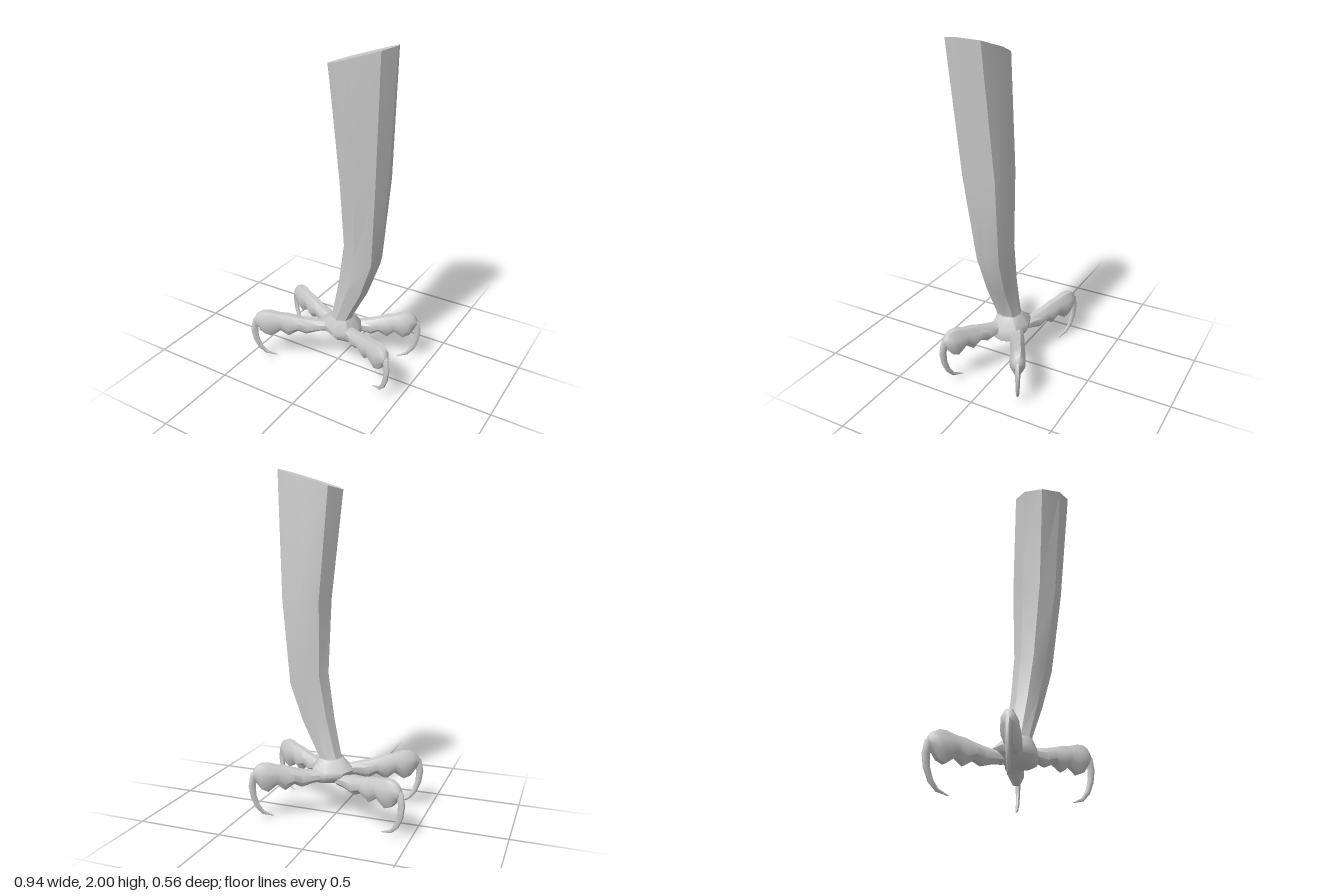
import * as THREE from 'three';
import { toCreasedNormals } from 'three/addons/utils/BufferGeometryUtils.js';

const material = new THREE.MeshStandardMaterial({ color: 0xcccccc });
const UP = new THREE.Vector3(0, 1, 0);

// Skin a list of equal-sized rings (counter-clockwise about the direction of travel) and cap both ends.
function loft(name, rings, crease = 0.6) {
  const n = rings[0].length;
  const pts = rings.flat();
  const index = [];
  for (let r = 0; r < rings.length - 1; r++) {
    for (let i = 0; i < n; i++) {
      const j = (i + 1) % n;
      const a = r * n + i, b = r * n + j;
      index.push(a, b, b + n, a, b + n, a + n);
    }
  }
  const last = (rings.length - 1) * n;
  for (let i = 1; i < n - 1; i++) {
    index.push(0, i + 1, i);
    index.push(last, last + i, last + i + 1);
  }
  const geometry = new THREE.BufferGeometry().setFromPoints(pts);
  geometry.setIndex(index);
  const mesh = new THREE.Mesh(toCreasedNormals(geometry, crease), material);
  mesh.name = name;
  return mesh;
}

// Unit outline of the shank, as [x, z]
const OUTLINE = [[0, 1], [0.8, 0.74], [1, 0.04], [0.78, -0.74], [0, -1], [-0.73, -0.74], [-1, 0], [-0.7, 0.67]];

// Horizontal ring fitted to an x and z range; tilt lifts the +x side
const levelRing = ([y, x0, x1, z0, z1, tilt]) => OUTLINE.map(([px, pz]) => new THREE.Vector3(
  (x0 + x1) / 2 + px * (x1 - x0) / 2,
  y + tilt * px,
  (z0 + z1) / 2 + pz * (z1 - z0) / 2));

// Toe sections: distance along, top, bottom, half width (with padded underside)
const TOE = [
  [-0.08, 0.30, 0.24, 0.030], [0.06, 0.305, 0.235, 0.036], [0.24, 0.315, 0.215, 0.042],
  [0.36, 0.325, 0.235, 0.041], [0.50, 0.34, 0.200, 0.043], [0.62, 0.345, 0.235, 0.041],
  [0.76, 0.36, 0.195, 0.044], [0.86, 0.36, 0.21, 0.041], [0.94, 0.345, 0.25, 0.032],
  [0.99, 0.32, 0.275, 0.016],
];
// Claw path: distance along, height, radius
const CLAW = [
  [0.90, 0.31, 0.024], [0.98, 0.29, 0.022], [1.01, 0.23, 0.020], [0.99, 0.165, 0.017],
  [0.93, 0.105, 0.014], [0.84, 0.065, 0.010], [0.68, 0.043, 0.002],
];

function makeToe(name, [bx, bz], [tx, tz], lift) {
  const toe = new THREE.Group();
  toe.name = name;
  const base = new THREE.Vector3(bx, lift, bz);
  const span = new THREE.Vector3(tx - bx, 0, tz - bz);
  const side = new THREE.Vector3().crossVectors(UP, span).normalize();
  const at = (s, y) => base.clone().addScaledVector(span, s).addScaledVector(UP, y);

  // Eight-sided ring around a centre
  const ring = (centre, v, w, h) => Array.from({ length: 8 }, (_, i) => {
    const a = (i + 0.5) * Math.PI / 4;
    return centre.clone()
      .addScaledVector(side, w * Math.cos(a) / Math.cos(Math.PI / 8))
      .addScaledVector(v, h * Math.sin(a) / Math.cos(Math.PI / 8));
  });

  toe.add(loft('toeFlesh', TOE.map(([s, top, bottom, w]) =>
    ring(at(s, (top + bottom) / 2), UP, w, (top - bottom) / 2)), 0.75));

  const path = CLAW.map(([s, y]) => at(s, y));
  toe.add(loft('claw', CLAW.map(([, , r], i) => {
    const before = path[Math.max(i - 1, 0)], after = path[Math.min(i + 1, path.length - 1)];
    const tangent = after.clone().sub(before).normalize();
    const normal = new THREE.Vector3().crossVectors(tangent, side);
    return ring(path[i], normal, r * 0.7, r);
  }), 0.85));
  return toe;
}

export function createModel() {
  const model = new THREE.Group();
  model.name = 'birdLeg';

  // Shank: y, x range, z range, tilt
  model.add(loft('shank', [
    [0.31, -0.05, 0.10, -0.07, 0.085, 0],
    [0.36, -0.03, 0.105, -0.06, 0.08, 0],
    [0.57, 0.015, 0.21, -0.065, 0.09, -0.01],
    [0.81, 0.053, 0.29, -0.075, 0.11, -0.035],
    [1.27, 0.042, 0.338, -0.09, 0.172, 0],
    [1.94, -0.01, 0.39, -0.045, 0.226, 0.062],
  ].map(levelRing)));

  // Foot body that the toes grow from
  model.add(loft('footBody', [
    [0.20, 0.01, 0.13, -0.05, 0.05, -0.003],
    [0.215, -0.05, 0.15, -0.085, 0.085, -0.005],
    [0.25, -0.095, 0.155, -0.11, 0.11, -0.005],
    [0.285, -0.108, 0.145, -0.108, 0.108, 0],
    [0.35, -0.035, 0.105, -0.06, 0.08, 0],
  ].map(levelRing), 0.8));

  // Toes: base [x, z], tip [x, z], height offset
  model.add(makeToe('frontRightToe', [-0.07, 0.065], [-0.432, 0.268], 0));
  model.add(makeToe('frontLeftToe', [0.10, 0.045], [0.445, 0.213], 0));
  model.add(makeToe('backRightToe', [-0.06, -0.055], [-0.448, -0.202], -0.035));
  model.add(makeToe('backLeftToe', [0.09, -0.075], [0.415, -0.252], -0.02));
  return model;
}
